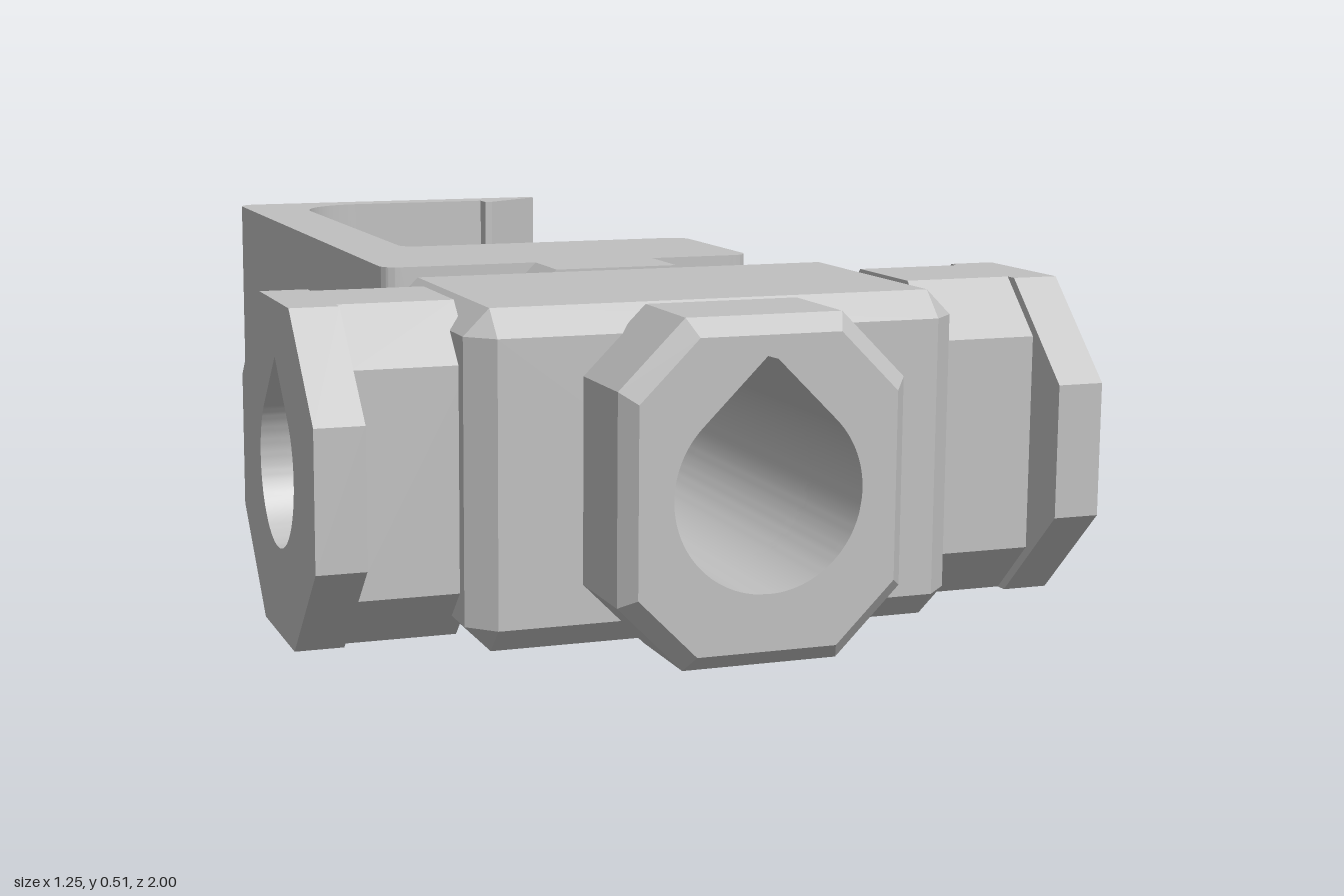
import * as THREE from 'three';
import { toCreasedNormals } from 'three/addons/utils/BufferGeometryUtils.js';

const H = 0.51, CY = H / 2;
const grey = new THREE.MeshStandardMaterial({ color: 0xc0c0c0 });
grey.name = 'grey plastic';

function part(name, geometry) {
  const mesh = new THREE.Mesh(toCreasedNormals(geometry, 0.5), grey);
  mesh.name = name;
  return mesh;
}

// Octagon of half width a and half height b, corners cut at 45 degrees by c
function octagon(a, b, c) {
  return new THREE.Shape([
    [a, c - b], [a, b - c], [a - c, b], [c - a, b],
    [-a, b - c], [-a, c - b], [c - a, -b], [a - c, -b],
  ].map(([x, y]) => new THREE.Vector2(x, y + CY)));
}

// Round hole with a pointed roof
function teardrop(r) {
  const path = new THREE.Path();
  path.absarc(0, CY, r, Math.PI * 0.75, Math.PI * 2.25, false);
  path.lineTo(0, CY + r * Math.SQRT2);
  path.closePath();
  return path;
}

// Extrude a shape from z0 to z1, with an optional hole radius
function slab(shape, z0, z1, holeRadius) {
  if (holeRadius) shape.holes.push(teardrop(holeRadius));
  const g = new THREE.ExtrudeGeometry(shape, { depth: z1 - z0, steps: 1, bevelEnabled: false, curveSegments: 40 });
  return g.translate(0, 0, z0);
}

// Like slab, but the end outlines are pulled in by inset(x, y) to form chamfers
function chamferedSlab(shape, z0, z1, holeRadius, chamfer, inset) {
  shape.holes.push(teardrop(holeRadius));
  const g = new THREE.ExtrudeGeometry(shape, { depth: 3, steps: 3, bevelEnabled: false, curveSegments: 40 });
  const layers = [z0, z0 + chamfer, z1 - chamfer, z1];
  const p = g.attributes.position;
  for (let i = 0; i < p.count; i++) {
    const layer = Math.round(p.getZ(i));
    let x = p.getX(i), y = p.getY(i) - CY;
    if (layer === 0 || layer === 3) [x, y] = inset(x, y, layer);
    p.setXYZ(i, x, y + CY, layers[layer]);
  }
  return g;
}

// Raise a plan outline drawn in (x, -z) to the full height
function raise(shape) {
  return new THREE.ExtrudeGeometry(shape, { depth: H, bevelEnabled: false, curveSegments: 16 }).rotateX(-Math.PI / 2);
}

function rectangle(x0, x1) {
  return new THREE.Shape([[x0, 0], [x1, 0], [x1, H], [x0, H]].map(([x, y]) => new THREE.Vector2(x, y)));
}

export function createModel() {
  const model = new THREE.Group();
  model.name = 'hookMount';
  const clamp = THREE.MathUtils.clamp;
  const bore = 0.145;

  // Chamfered centre body
  model.add(part('body', chamferedSlab(octagon(0.39, CY, 0.04), 0.355, 0.828, bore, 0.04,
    (x, y) => [clamp(x, -0.35, 0.35), clamp(y, 0.04 - CY, CY - 0.04)])));

  // Front boss, chamfered on its front rim
  model.add(part('frontBoss', chamferedSlab(octagon(0.22, CY, 0.1), 0.815, 1, bore, 0.027,
    (x, y, layer) => (layer === 3 && Math.hypot(x, y) > 0.24 ? [x * 0.9, y * 0.9] : [x, y]))));

  // Neck joining the body to the hook block
  model.add(part('neck', slab(octagon(CY, CY, 0.15), 0.24, 0.362, bore)));

  // Side arms with octagonal flanges and blind holes
  for (const side of [1, -1]) {
    const arm = new THREE.Group();
    arm.name = side > 0 ? 'leftArm' : 'rightArm';
    arm.add(part('armShaft', slab(octagon(0.17, CY, 0.085), 0.372, 0.551, 0.12)));
    arm.add(part('armFlange', slab(octagon(CY, CY, 0.15), 0.55, 0.625, 0.12)));
    arm.position.z = 0.595;
    arm.rotation.y = side * Math.PI / 2;
    model.add(arm);
  }

  // Hook: spine, rounded bend and barbed lip
  const h = new THREE.Shape();
  h.moveTo(-0.225, -0.25);
  h.lineTo(-0.34, -0.25);
  h.absarc(-0.34, -0.22, 0.03, Math.PI * 1.5, Math.PI, true);
  h.lineTo(-0.37, 0.96);
  h.absarc(-0.33, 0.96, 0.04, Math.PI, Math.PI / 2, true);
  h.lineTo(0.29, 1);
  h.lineTo(0.29, 0.985);
  h.lineTo(0.17, 0.905);
  h.lineTo(0.155, 0.905);
  h.lineTo(0.155, 0.94);
  h.lineTo(-0.12, 0.94);
  h.absarc(-0.12, 0.805, 0.135, Math.PI / 2, Math.PI, false);
  h.lineTo(-0.255, 0.09);
  h.absarc(-0.225, 0.09, 0.03, Math.PI, Math.PI * 1.5, false);
  h.closePath();
  model.add(part('hook', raise(h)));

  // Hook block: two bored walls around a nut slot that opens on the left
  const block = new THREE.Group();
  block.name = 'hookBlock';
  block.add(part('backWall', slab(rectangle(-0.225, 0.255), -0.06, 0, bore)));
  block.add(part('frontWall', slab(rectangle(-0.225, 0.255), 0.2, 0.25, bore)));
  const slot = new THREE.Shape([
    [-0.25, 0], [0.285, 0], [0.285, 0.065], [-0.11, 0.065], [-0.222, CY],
    [-0.11, 0.447], [0.285, 0.447], [0.285, H], [-0.25, H],
  ].map(([x, y]) => new THREE.Vector2(x, y)));
  block.add(part('nutSlot', slab(slot, 0, 0.2)));

  // Rounded vertical corners of the block
  const back = new THREE.Shape();
  back.moveTo(0.255, 0);
  back.lineTo(0.285, 0);
  back.lineTo(0.285, 0.03);
  back.absarc(0.255, 0.03, 0.03, 0, Math.PI / 2, false);
  back.closePath();
  block.add(part('backCorner', raise(back)));
  const front = new THREE.Shape();
  front.moveTo(0.255, -0.2);
  front.lineTo(0.255, -0.25);
  front.absarc(0.255, -0.22, 0.03, -Math.PI / 2, 0, false);
  front.lineTo(0.285, -0.2);
  front.closePath();
  block.add(part('frontCorner', raise(front)));
  model.add(block);

  return model;
}
